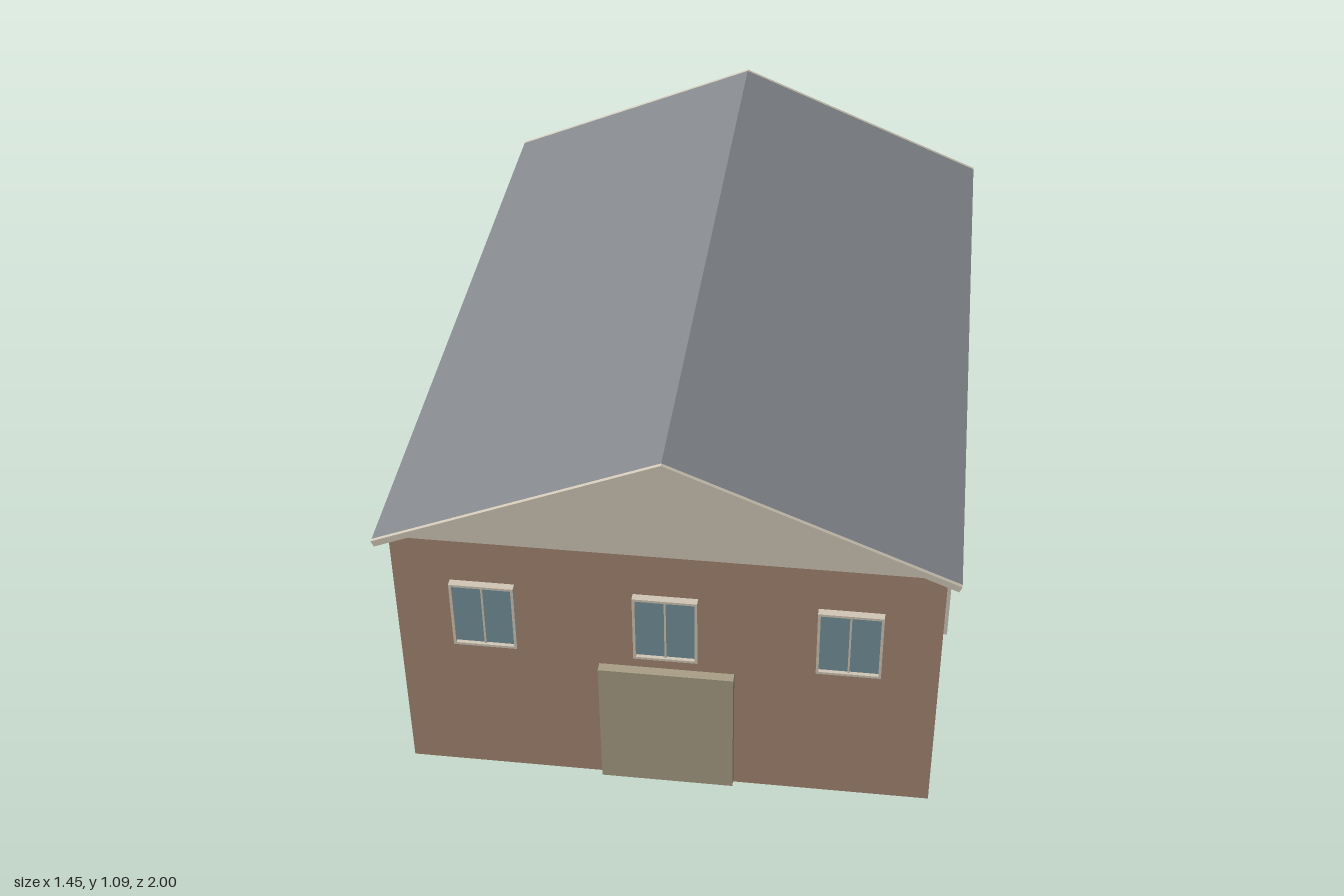
import * as THREE from 'three';

const mat = (color) => new THREE.MeshStandardMaterial({ color, flatShading: true });
const brick = mat(0xa68673), cream = mat(0xd1c8b8), slate = mat(0x85888d);
const glassBlue = mat(0x74929c), doorTan = mat(0xaa9f86);

const HALF_W = 0.69, HALF_D = 0.963, WALL_H = 0.77;

function box(name, material, w, h, d, x, y, z) {
  const mesh = new THREE.Mesh(new THREE.BoxGeometry(w, h, d), material);
  mesh.name = name;
  mesh.position.set(x, y, z);
  return mesh;
}

// Extrudes an x/y outline from z0 to z1
function prism(name, material, points, z0, z1) {
  const shape = new THREE.Shape(points.map(([x, y]) => new THREE.Vector2(x, y)));
  const geo = new THREE.ExtrudeGeometry(shape, { depth: z1 - z0, bevelEnabled: false });
  geo.translate(0, 0, z0);
  const mesh = new THREE.Mesh(geo, material);
  mesh.name = name;
  return mesh;
}

// Window standing on the plane z = 0, facing +z
function makeWindow(w, h) {
  const g = new THREE.Group();
  g.name = 'window';
  const t = 0.007, depth = 0.02;
  const outline = new THREE.Shape();
  outline.moveTo(-w / 2, -h / 2).lineTo(w / 2, -h / 2).lineTo(w / 2, h / 2).lineTo(-w / 2, h / 2).closePath();
  const a = w / 2 - t, b = h / 2 - t;
  const hole = new THREE.Path();
  hole.moveTo(-a, -b).lineTo(-a, b).lineTo(a, b).lineTo(a, -b).closePath();
  outline.holes.push(hole);
  const frame = new THREE.Mesh(new THREE.ExtrudeGeometry(outline, { depth, bevelEnabled: false }), cream);
  frame.name = 'windowFrame';
  g.add(frame);
  g.add(box('windowGlass', glassBlue, 2 * a, 2 * b, 0.01, 0, 0, 0.005));
  g.add(box('windowMullion', cream, 0.005, 2 * b, 0.006, 0, 0, 0.012));
  return g;
}

export function createModel() {
  const model = new THREE.Group();
  model.name = 'building';

  // Brick walls and the pale gables above them
  model.add(box('walls', brick, HALF_W * 2, WALL_H, HALF_D * 2, 0, WALL_H / 2, 0));
  model.add(prism('gables', cream,
    [[-HALF_W, WALL_H], [HALF_W, WALL_H], [HALF_W, 0.777], [0, 1.069], [-HALF_W, 0.777]], -HALF_D, HALF_D));

  // Pitched roof with pale trim boards at both ends
  const chevron = [[0, 1.086], [-0.724, 0.782], [-0.717, 0.766], [0, 1.068], [0.717, 0.766], [0.724, 0.782]];
  model.add(prism('roof', slate, chevron, -0.99, 0.99));
  model.add(prism('frontRoofTrim', cream, chevron, 0.99, 1));
  model.add(prism('backRoofTrim', cream, chevron, -1, -0.99));

  // Front door panel
  model.add(box('door', doorTan, 0.348, 0.385, 0.026, 0, 0.203, HALF_D + 0.013));

  // Three windows on the front
  for (const x of [-0.463, 0, 0.463]) {
    const win = makeWindow(0.164, 0.202);
    win.name = 'frontWindow';
    win.position.set(x, 0.542, HALF_D);
    model.add(win);
  }

  // Four windows along one side
  for (const z of [0.617, 0.232, -0.232, -0.617]) {
    const win = makeWindow(0.162, 0.24);
    win.name = 'sideWindow';
    win.rotation.y = Math.PI / 2;
    win.position.set(HALF_W, 0.465, z);
    model.add(win);
  }

  return model;
}
